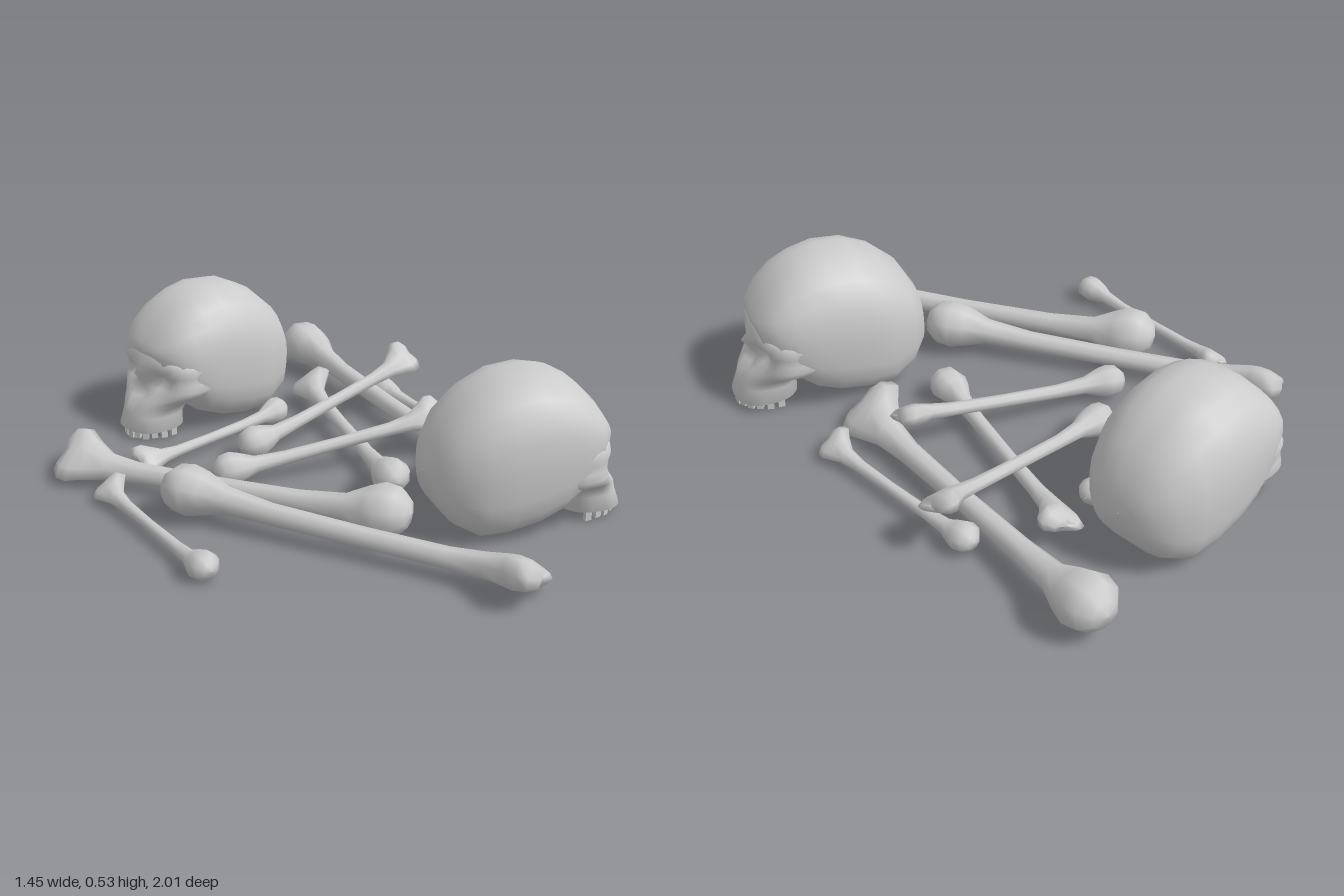
import * as THREE from 'three';

const bone = new THREE.MeshStandardMaterial({ color: 0xcccccc, side: THREE.DoubleSide });

// Skin a list of closed rings (arrays of [x, y, z]) into one smooth surface.
function loft(rings) {
  const n = rings[0].length;
  const index = [];
  for (let i = 0; i < rings.length - 1; i++) {
    for (let j = 0; j < n; j++) {
      const a = i * n + j, b = i * n + (j + 1) % n;
      index.push(a, a + n, b, b, a + n, b + n);
    }
  }
  const geo = new THREE.BufferGeometry();
  geo.setAttribute('position', new THREE.Float32BufferAttribute(rings.flat(2), 3));
  geo.setIndex(index);
  geo.computeVertexNormals();
  return geo;
}

// n points of a ring, each from a function of its angle
const ring = (n, point) => Array.from({ length: n }, (_, j) => point(j / n * Math.PI * 2));

// signed power, for superellipse outlines
const spow = (v, e) => Math.sign(v) * Math.abs(v) ** e;

function mesh(name, geometry) {
  const m = new THREE.Mesh(geometry, bone);
  m.name = name;
  return m;
}

// Long bone of unit length along +y: round head at 0, forked end at 1
// whose +x lobe is the longer and thicker one.
function longBoneGeometry() {
  // [position, half width, half thickness, x offset, z offset]
  const stations = [
    [0, 0.002, 0.002, 0.01, 0], [0.008, 0.036, 0.036, 0.01, 0], [0.035, 0.064, 0.06, 0.01, 0],
    [0.075, 0.073, 0.066, 0.008, 0], [0.115, 0.06, 0.056, 0.004, 0], [0.175, 0.036, 0.035, 0, -0.004],
    [0.3, 0.029, 0.028, 0, -0.01], [0.55, 0.026, 0.026, 0, -0.01], [0.76, 0.03, 0.027, 0, -0.008],
    [0.85, 0.041, 0.032, 0.002, -0.004], [0.91, 0.07, 0.038, 0.01, 0], [0.95, 0.092, 0.04, 0.02, 0],
    [0.98, 0.088, 0.036, 0.022, 0], [1, 0.055, 0.024, 0.016, 0], [0.99, 0.002, 0.002, 0.01, 0],
  ];
  return loft(stations.map(([t, w, d, ox, oz]) => ring(8, (a) => {
    const c = Math.cos(a);
    const notch = t > 0.94 ? 0.02 * (1 - Math.abs(c)) : 0;
    const swell = t > 0.9 ? 1 + 0.35 * c : 1;
    return [ox + w * c, t - notch, oz + d * swell * Math.sin(a)];
  })));
}

// Braincase: superellipse sections from forehead to back of head.
function craniumGeometry() {
  // [z, half width, bottom, top]
  const stations = [
    [0.256, 0.002, 0.32, 0.322], [0.246, 0.12, 0.27, 0.36], [0.2, 0.178, 0.2, 0.425],
    [0.145, 0.2, 0.125, 0.48], [0.08, 0.21, 0.065, 0.517], [0, 0.216, 0.03, 0.535],
    [-0.1, 0.216, 0.012, 0.525], [-0.19, 0.206, 0.012, 0.482], [-0.27, 0.17, 0.06, 0.41],
    [-0.318, 0.115, 0.12, 0.325], [-0.336, 0.05, 0.18, 0.26], [-0.34, 0.002, 0.22, 0.222],
  ];
  return loft(stations.map(([z, w, lo, hi]) => ring(22, (a) => {
    const s = Math.sin(a), c = Math.cos(a);
    return [w * spow(c, s < 0 ? 0.55 : 0.85), (lo + hi) / 2 + (hi - lo) / 2 * spow(s, s < 0 ? 0.7 : 0.9), z];
  })));
}

// Face: level sections from brow to upper jaw, then up into the palate,
// with eye sockets and nose opening pressed in and a nose bridge raised.
function faceGeometry() {
  // [y, half width, front z, back z]
  const rows = [
    [0.37, 0.08, 0.19, 0.02], [0.335, 0.14, 0.24, 0], [0.3, 0.188, 0.262, 0],
    [0.27, 0.2, 0.268, 0], [0.245, 0.195, 0.266, 0], [0.22, 0.197, 0.265, 0],
    [0.195, 0.203, 0.268, 0], [0.172, 0.192, 0.274, 0.02], [0.15, 0.155, 0.29, 0.06],
    [0.125, 0.122, 0.31, 0.105], [0.09, 0.108, 0.322, 0.125], [0.038, 0.112, 0.342, 0.125],
    [0.038, 0.09, 0.318, 0.14], [0.075, 0.06, 0.285, 0.17], [0.085, 0.002, 0.23, 0.228],
  ];
  const bump = (x, y, cx, cy, rx, ry) => Math.exp(-(((x - cx) / rx) ** 2) - ((y - cy) / ry) ** 2);
  return loft(rows.map(([y, w, front, back], i) => ring(36, (a) => {
    const x = w * spow(Math.sin(a), 0.85);
    const c = Math.cos(a);
    let z = (front + back) / 2 + (front - back) / 2 * spow(c, 0.8);
    if (c > 0 && i < 11) {
      z -= 0.045 * bump(Math.abs(x), y, 0.085, 0.222, 0.045, 0.03);
      z -= 0.03 * bump(x, y, 0, 0.165, 0.026, 0.028);
      z += 0.03 * bump(x, y, 0, 0.24, 0.025, 0.022);
    }
    return [x, y, z];
  })));
}

const longBone = longBoneGeometry();
const cranium = craniumGeometry();
const face = faceGeometry();
const tooth = new THREE.BoxGeometry(0.022, 0.036, 0.016);

function makeSkull(name, x, z, yaw) {
  const skull = new THREE.Group();
  skull.name = name;
  skull.add(mesh('cranium', cranium), mesh('face', face));
  // upper teeth along the jaw arch
  for (let i = 0; i < 12; i++) {
    const a = (i - 5.5) * 0.27;
    const t = mesh('tooth', tooth);
    t.position.set(0.096 * Math.sin(a), 0.024 + 0.003 * (i % 2), 0.19 + 0.138 * Math.cos(a));
    t.rotation.y = Math.atan2(Math.sin(a) / 0.096, Math.cos(a) / 0.138);
    skull.add(t);
  }
  skull.position.set(x, 0, z);
  skull.rotation.y = yaw;
  return skull;
}

// Lay a bone from its round head to its forked end, rolled about its length;
// a negative roll also mirrors it so the longer lobe always points up.
function makeBone(name, head, fork, roll) {
  const start = new THREE.Vector3(...head);
  const dir = new THREE.Vector3(...fork).sub(start);
  const length = dir.length();
  dir.normalize();
  const side = new THREE.Vector3().crossVectors(dir, new THREE.Vector3(0, 1, 0)).normalize();
  side.applyAxisAngle(dir, -roll);
  const up = new THREE.Vector3().crossVectors(side, dir);
  const m = mesh(name, longBone);
  m.quaternion.setFromRotationMatrix(new THREE.Matrix4().makeBasis(side, dir, up));
  m.position.copy(start);
  m.scale.set(length * Math.sign(roll), length, length);
  return m;
}

export function createModel() {
  const group = new THREE.Group();
  group.name = 'bonePile';
  group.add(
    makeSkull('backSkull', 0.05, -0.785, -Math.PI / 2),
    makeSkull('frontSkull', 0.36, 0.555, 1.187),
  );
  // [name, round head tip, forked tip, roll]
  const bones = [
    ['thighBone', [-0.04, 0.1, 0.47], [-0.635, 0.07, -0.66], 0.45],
    ['thighBone', [-0.5, 0.105, -0.2], [0.04, 0.075, 0.97], 0.45],
    ['thighBone', [0.655, 0.12, -0.97], [0.45, 0.06, 0.3], 0.45],
    ['upperArmBone', [0.13, 0.06, 0.22], [0.42, 0.09, -0.64], 0.45],
    ['upperArmBone', [-0.1, 0.06, -0.325], [0.735, 0.195, -0.355], -0.5],
    ['upperArmBone', [-0.29, 0.06, -0.23], [0.49, 0.165, 0.065], -0.5],
    ['forearmBone', [-0.67, 0.05, 0.28], [-0.615, 0.05, -0.42], 0.45],
    ['forearmBone', [0.26, 0.05, -0.545], [-0.43, 0.05, -0.475], 0.45],
    ['forearmBone', [0.65, 0.06, -0.46], [0.635, 0.05, 0.24], 0.45],
  ];
  for (const b of bones) group.add(makeBone(...b));
  return group;
}
